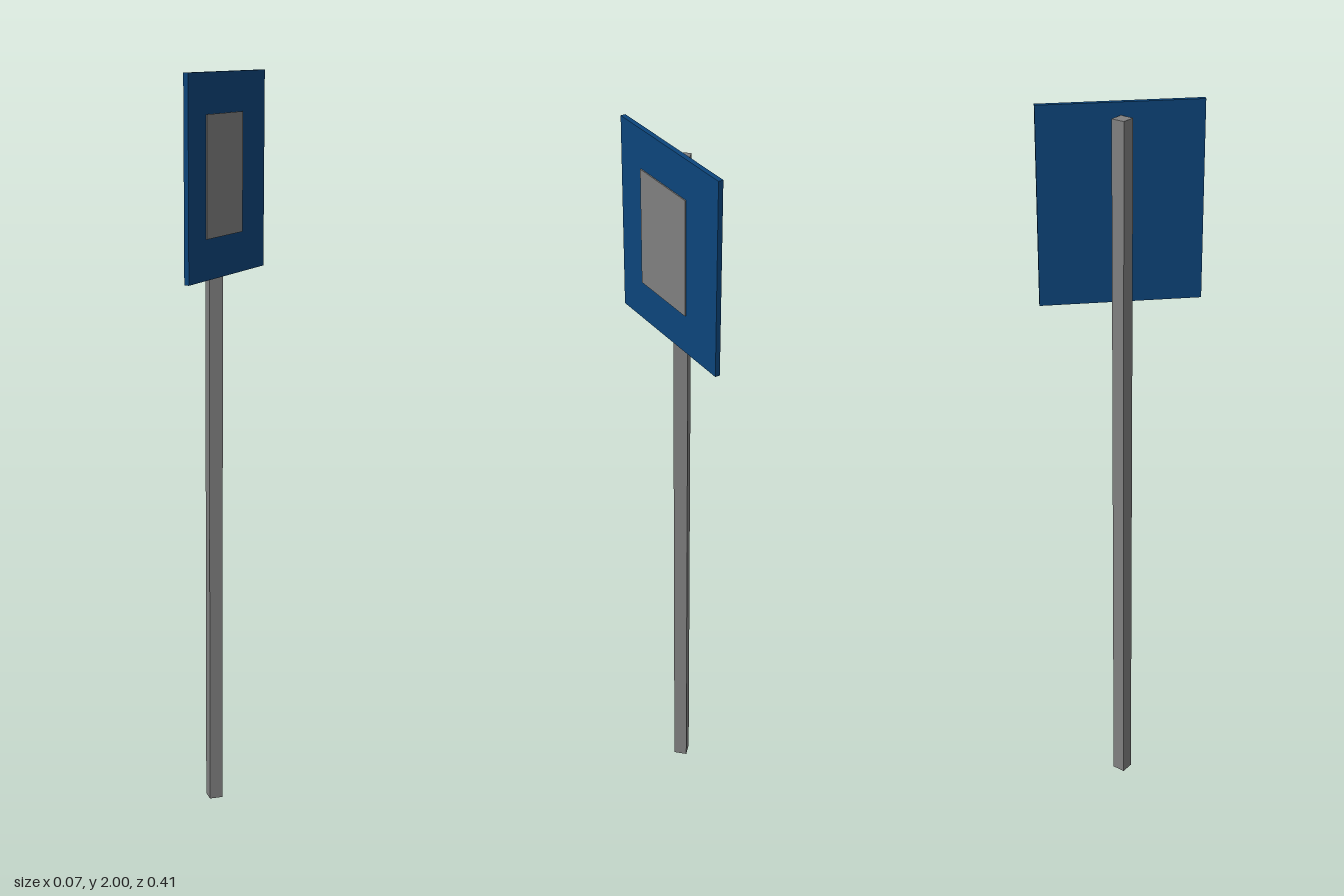
import * as THREE from 'three';

export function createModel() {
  const model = new THREE.Group();
  model.name = 'signpost';

  const grey = new THREE.MeshStandardMaterial({ color: 0x808080 });
  grey.name = 'metal grey';
  const blue = new THREE.MeshStandardMaterial({ color: 0x0c457b });
  blue.name = 'sign blue';

  const add = (name, geometry, material, x, y, z) => {
    const mesh = new THREE.Mesh(geometry, material);
    mesh.name = name;
    mesh.position.set(x, y, z);
    model.add(mesh);
  };

  // Square post standing corner-on to the sign
  const post = new THREE.CylinderGeometry(0.026, 0.026, 1.968, 4).toNonIndexed();
  post.computeVertexNormals();
  add('post', post, grey, -0.009, 0.984, 0);

  // Sign board on the left side of the post
  add('signBoard', new THREE.BoxGeometry(0.013, 0.515, 0.414), blue, 0.0245, 1.7425, 0);

  // Thin grey plate on the board's outer face, slightly off centre
  add('signPlate', new THREE.BoxGeometry(0.004, 0.308, 0.195), grey, 0.032, 1.744, 0.02);

  return model;
}
